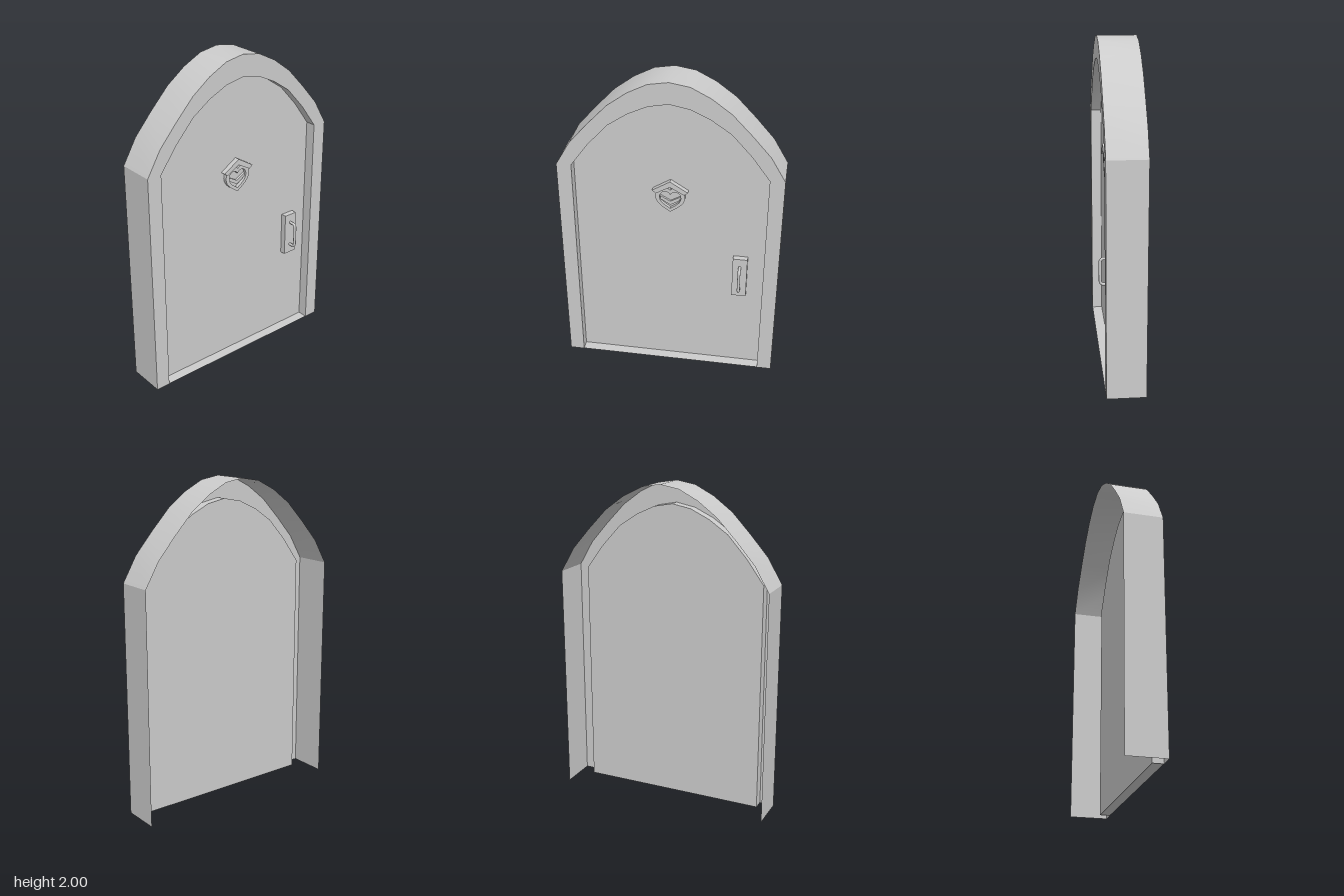
import * as THREE from 'three';
import { toCreasedNormals } from 'three/addons/utils/BufferGeometryUtils.js';

const FRONT = 0.105, BACK = -0.13, PANEL = 0.04;

// Right half of each arch, from the floor up to the crown
const OUTER = [[0.675, 0], [0.675, 1.43], [0.587, 1.58], [0.476, 1.707], [0.356, 1.833], [0.238, 1.92], [0.12, 1.98], [0, 2]];
const INNER = [[0.585, 0], [0.585, 1.43], [0.476, 1.578], [0.356, 1.71], [0.238, 1.79], [0.12, 1.845], [0, 1.868]];

// Full outline: right foot, over the crown, left foot
function mirrored(half) {
  const left = half.slice(0, -1).reverse().map(([x, y]) => [-x, y]);
  return [...half, ...left].map(([x, y]) => new THREE.Vector2(x, y));
}

// Open wall that sweeps an outline between two depths
function wall(points, z0, z1) {
  const pos = [];
  for (let i = 0; i < points.length - 1; i++) {
    const a = points[i], b = points[i + 1];
    pos.push(a.x, a.y, z0, b.x, b.y, z1, a.x, a.y, z1);
    pos.push(a.x, a.y, z0, b.x, b.y, z0, b.x, b.y, z1);
  }
  const geo = new THREE.BufferGeometry();
  geo.setAttribute('position', new THREE.Float32BufferAttribute(pos, 3));
  geo.computeVertexNormals();
  return toCreasedNormals(geo, 0.4);
}

// Heart with a pointed foot, scaled about its middle
function heart(path, s, notch) {
  const cy = 1.222, p = (x, y) => [x * s, cy + y * s];
  path.moveTo(...p(0, -0.087));
  path.bezierCurveTo(...p(0.035, -0.06), ...p(0.088, -0.035), ...p(0.09, 0.015));
  path.bezierCurveTo(...p(0.092, 0.075), ...p(0.025, 0.095), ...p(0, notch));
  path.bezierCurveTo(...p(-0.025, 0.095), ...p(-0.092, 0.075), ...p(-0.09, 0.015));
  path.bezierCurveTo(...p(-0.088, -0.035), ...p(-0.035, -0.06), ...p(0, -0.087));
  return path;
}

export function createModel() {
  const group = new THREE.Group();
  const solid = new THREE.MeshStandardMaterial({ color: 0xcccccc });
  const thin = new THREE.MeshStandardMaterial({ color: 0xcccccc, side: THREE.DoubleSide });
  const add = (name, geo, mat, parent = group) => {
    const mesh = new THREE.Mesh(geo, mat);
    mesh.name = name;
    parent.add(mesh);
    return mesh;
  };
  const extrude = (shape, depth) =>
    new THREE.ExtrudeGeometry(shape, { depth, bevelEnabled: false, curveSegments: 8 });

  const outer = mirrored(OUTER), inner = mirrored(INNER);

  // Frame: hollow shell, open at the back and underneath
  const frame = new THREE.Group();
  frame.name = 'frame';
  group.add(frame);
  add('frameOuterWall', wall(outer, BACK, FRONT), thin, frame);
  add('frameReveal', wall(inner, PANEL, FRONT), thin, frame);
  const face = new THREE.Shape([...outer, ...inner.slice().reverse()]);
  add('frameFace', new THREE.ShapeGeometry(face).translate(0, 0, FRONT), thin, frame);
  const sill = new THREE.PlaneGeometry(1.17, FRONT - PANEL).rotateX(-Math.PI / 2);
  add('sill', sill.translate(0, 0.002, (FRONT + PANEL) / 2), thin, frame);

  // Recessed door leaf
  const leaf = new THREE.ShapeGeometry(new THREE.Shape(inner));
  add('doorPanel', leaf.translate(0, 0, PANEL), thin);

  // Handle: back plate and bent bar
  const handle = new THREE.Group();
  handle.name = 'handle';
  handle.position.set(0.437, 0.7, 0);
  group.add(handle);
  const plate = new THREE.BoxGeometry(0.09, 0.278, 0.036);
  add('handlePlate', plate.translate(0, 0, PANEL + 0.018), solid, handle);
  const v = (y, z) => new THREE.Vector3(0, y, z);
  const bar = new THREE.CurvePath();
  bar.add(new THREE.LineCurve3(v(-0.08, 0.07), v(-0.08, 0.098)));
  bar.add(new THREE.QuadraticBezierCurve3(v(-0.08, 0.098), v(-0.08, 0.121), v(-0.057, 0.121)));
  bar.add(new THREE.LineCurve3(v(-0.057, 0.121), v(0.057, 0.121)));
  bar.add(new THREE.QuadraticBezierCurve3(v(0.057, 0.121), v(0.08, 0.121), v(0.08, 0.098)));
  bar.add(new THREE.LineCurve3(v(0.08, 0.098), v(0.08, 0.07)));
  add('handleBar', new THREE.TubeGeometry(bar, 48, 0.009, 10), solid, handle);

  // Heart ornament: ring, inner chevron and gabled hood
  const ornament = new THREE.Group();
  ornament.name = 'heartOrnament';
  ornament.position.z = PANEL;
  group.add(ornament);
  const ring = heart(new THREE.Shape(), 1, 0.065);
  ring.holes.push(heart(new THREE.Path(), 0.72, 0.045));
  add('heartRing', toCreasedNormals(extrude(ring, 0.022), 0.6), solid, ornament);
  const chevron = (apex, end, tipX, tipY, lowX, lowY) => new THREE.Shape(
    [[0, apex], [-tipX, tipY], [-lowX, lowY], [0, end], [lowX, lowY], [tipX, tipY]]
      .map(([x, y]) => new THREE.Vector2(x, y)));
  add('innerChevron', extrude(chevron(1.205, 1.18, 0.062, 1.24, 0.058, 1.215), 0.014), solid, ornament);
  add('hood', extrude(chevron(1.35, 1.312, 0.108, 1.283, 0.085, 1.264), 0.032), solid, ornament);

  return group;
}
